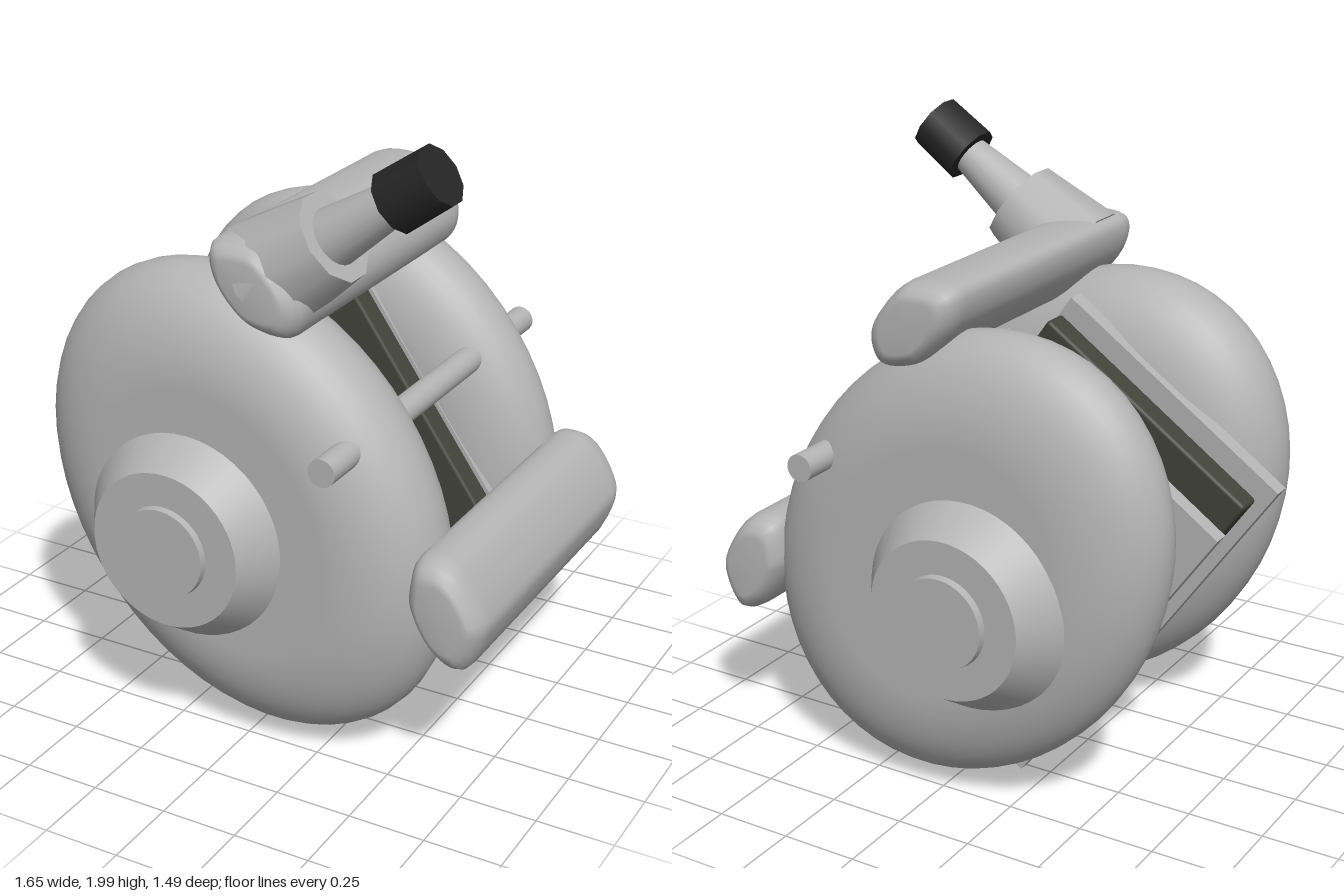
import * as THREE from 'three';
import { RoundedBoxGeometry } from 'three/addons/geometries/RoundedBoxGeometry.js';

// Skin a closed cross-section through rings [z, scale], with end caps.
function loft(section, rings) {
  const n = section.length;
  const c = section.reduce((s, p) => s.add(p), new THREE.Vector2()).divideScalar(n);
  const pos = [], idx = [];
  for (const [z, s] of rings) {
    for (const p of section) pos.push(c.x + (p.x - c.x) * s, c.y + (p.y - c.y) * s, z);
  }
  for (let r = 0; r < rings.length - 1; r++) {
    for (let i = 0; i < n; i++) {
      const a = r * n + i, b = r * n + (i + 1) % n;
      idx.push(a, b, b + n, a, b + n, a + n);
    }
  }
  const first = pos.length / 3, last = first + 1, top = (rings.length - 1) * n;
  pos.push(c.x, c.y, rings[0][0], c.x, c.y, rings[rings.length - 1][0]);
  for (let i = 0; i < n; i++) {
    const j = (i + 1) % n;
    idx.push(first, j, i, last, top + i, top + j);
  }
  const g = new THREE.BufferGeometry();
  g.setAttribute('position', new THREE.Float32BufferAttribute(pos, 3));
  g.setIndex(idx);
  g.computeVertexNormals();
  return g;
}

export function createModel() {
  const mat = (name, color) => {
    const m = new THREE.MeshStandardMaterial({ color });
    m.name = name;
    return m;
  };
  const metal = mat('light grey metal', 0xb4b4b5);
  const pad = mat('dark olive', 0x42433a);
  const rubber = mat('black rubber', 0x262626);

  const model = new THREE.Group();
  model.name = 'clampAssembly';
  // Tilted body: local x runs along the long axis, local y towards the handles
  const body = new THREE.Group();
  body.name = 'tiltedBody';
  body.position.set(-0.055, 0.79, 0);
  body.rotation.z = THREE.MathUtils.degToRad(-55);
  model.add(body);

  const add = (name, geometry, material, x = 0, y = 0, z = 0) => {
    const m = new THREE.Mesh(geometry, material);
    m.name = name;
    m.position.set(x, y, z);
    body.add(m);
    return m;
  };

  // Oval drum with a rounded rim and flat faces
  const drum = (name, z, half) => {
    const pts = [new THREE.Vector2(0, -half)];
    for (let i = 0; i <= 20; i++) {
      const a = -Math.PI / 2 + Math.PI * i / 20;
      pts.push(new THREE.Vector2(0.56 + 0.44 * Math.cos(a), half * Math.sin(a)));
    }
    pts.push(new THREE.Vector2(0, half));
    const g = new THREE.LatheGeometry(pts, 56);
    g.rotateX(Math.PI / 2);
    g.scale(0.8, 0.634, 1);
    add(name, g, metal, 0, 0, z);
  };
  drum('frontDrum', 0.382, 0.222);
  drum('backDrum', -0.42, 0.187);

  // Conical hubs with a raised centre disc
  for (const [side, s, face, tip] of [['front', 1, 0.722, 0.743], ['back', -1, 0.728, 0.752]]) {
    const frustum = (name, r0, r1, z0, z1) => {
      const g = new THREE.CylinderGeometry(r1, r0, z1 - z0, 48);
      g.rotateX(s * Math.PI / 2);
      add(side + name, g, metal, 0, -0.122, s * (z0 + z1) / 2);
    };
    frustum('Hub', 0.358, 0.255, 0.575, face);
    frustum('HubDisc', 0.15, 0.145, face - 0.01, tip);
  }

  // Backing plates and dark pads
  add('frontPlate', new THREE.BoxGeometry(1.165, 0.904, 0.058), metal, 0, -0.083, 0.175);
  add('backPlate', new THREE.BoxGeometry(1.165, 0.904, 0.054), metal, 0, -0.083, -0.256);
  for (const [name, z] of [['frontPad', 0.098], ['backPad', -0.181]]) {
    add(name, new RoundedBoxGeometry(1.036, 0.86, 0.09, 2, 0.012), pad, 0, -0.067, z);
  }

  // Cross pin through both drums
  const pin = new THREE.CylinderGeometry(0.044, 0.044, 1.39, 24);
  pin.rotateX(Math.PI / 2);
  add('crossPin', pin, metal, 0, 0.52, -0.005);

  // Two mirrored handle bars
  const outline = [[0.43, 0.467], [0.367, 0.544], [0.401, 0.61], [0.467, 0.641], [0.625, 0.627],
    [0.669, 0.596], [0.734, 0.487], [0.717, 0.453], [0.635, 0.42], [0.484, 0.435]];
  const rings = [[-0.577, 0.6], [-0.57, 0.75], [-0.55, 0.88], [-0.52, 0.97], [-0.48, 1],
    [0.48, 1], [0.52, 0.97], [0.55, 0.88], [0.57, 0.75], [0.577, 0.6]];
  for (const [name, s] of [['lowerHandle', 1], ['upperHandle', -1]]) {
    const ctrl = outline.map(([x, y]) => new THREE.Vector3(s * x, y, 0));
    // Sections must run counter-clockwise
    if (s > 0) ctrl.reverse();
    const section = new THREE.CatmullRomCurve3(ctrl, true).getPoints(40).slice(0, 40)
      .map(p => new THREE.Vector2(p.x, p.y));
    add(name, loft(section, rings), metal);
  }

  // Lever: tapered socket, stem and rubber tip
  const lever = (name, r0, r1, y0, y1, sides, material) => {
    const g = new THREE.CylinderGeometry(r1, r0, y1 - y0, sides);
    add(name, g, material, -0.562, (y0 + y1) / 2, 0.402);
  };
  lever('leverSocket', 0.185, 0.145, 0.5, 0.772, 10, metal);
  lever('leverStem', 0.092, 0.062, 0.76, 1.02, 20, metal);
  lever('leverTip', 0.1, 0.096, 1.006, 1.178, 10, rubber);

  return model;
}
